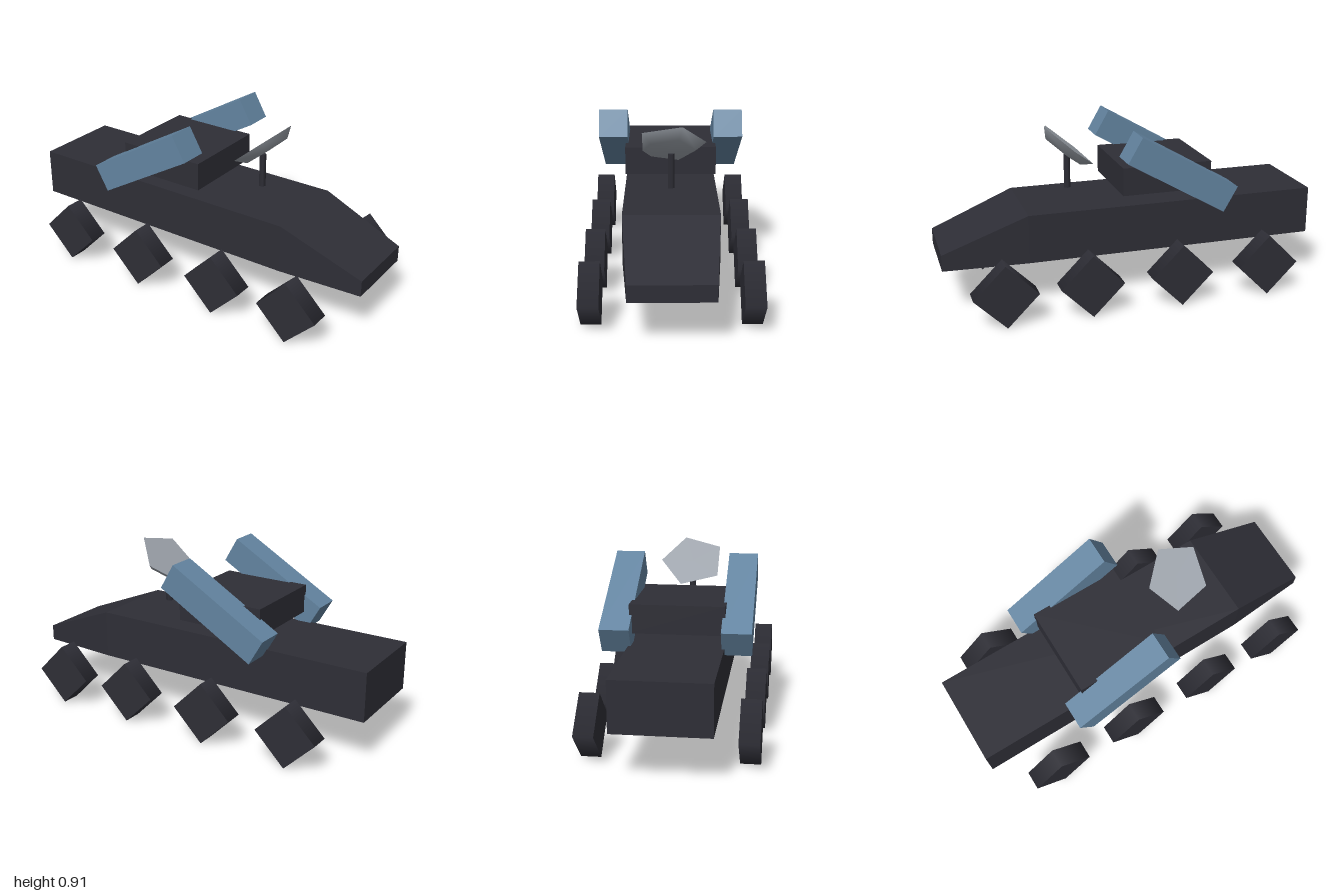
import * as THREE from 'three';

const mat = (name, color) => new THREE.MeshStandardMaterial({ name, color });

// Flat-faced body through rectangular sections [z, halfWidth, bottom, top], back to front
function loft(sections) {
  const rings = sections.map(([z, w, b, t]) => [[-w, b, z], [w, b, z], [w, t, z], [-w, t, z]]);
  const pos = [];
  const quad = (a, b, c, d) => pos.push(...a, ...b, ...c, ...a, ...c, ...d);
  for (let i = 0; i < rings.length - 1; i++) {
    const r = rings[i], n = rings[i + 1];
    for (let k = 0; k < 4; k++) {
      const j = (k + 1) % 4;
      quad(r[k], r[j], n[j], n[k]);
    }
  }
  const first = rings[0], last = rings[rings.length - 1];
  quad(first[3], first[2], first[1], first[0]);
  quad(...last);
  const g = new THREE.BufferGeometry();
  g.setAttribute('position', new THREE.Float32BufferAttribute(pos, 3));
  g.computeVertexNormals();
  return g;
}

export function createModel() {
  const model = new THREE.Group();
  model.name = 'armouredCarrier';
  const dark = mat('darkArmour', 0x2e2e36);
  const blue = mat('steelBlue', 0x6384a0);
  const grey = mat('dishGrey', 0x9aa0a8);

  const add = (name, geometry, material, x, y, z, parent = model) => {
    const m = new THREE.Mesh(geometry, material);
    m.name = name;
    m.position.set(x, y, z);
    parent.add(m);
    return m;
  };

  // Hull with sloped, tapering nose
  add('hull', loft([
    [-1, 0.24, 0.25, 0.505],
    [0.56, 0.24, 0.25, 0.505],
    [1, 0.206, 0.245, 0.33],
  ]), dark, 0, 0, 0);

  // Turret block floating above the deck
  add('turret', new THREE.BoxGeometry(0.48, 0.148, 0.482), dark, 0, 0.634, -0.179);

  // Launcher boxes and four-sided wheels, mirrored
  const launcher = new THREE.BoxGeometry(0.15, 0.15, 0.6).rotateX(-Math.PI / 6);
  const wheel = new THREE.CylinderGeometry(0.165, 0.165, 0.101, 4).rotateZ(Math.PI / 2);
  for (const side of [1, -1]) {
    const label = side > 0 ? 'left' : 'right';
    add(label + 'Launcher', launcher, blue, side * 0.301, 0.684, -0.218);
    [0.72, 0.28, -0.2, -0.682].forEach((z, i) =>
      add(`${label}Wheel${i + 1}`, wheel, dark, side * 0.39, 0.166, z));
  }

  // Radar mast
  const mast = new THREE.CylinderGeometry(0.018, 0.018, 0.18, 5).rotateY(Math.PI / 2);
  add('radarMast', mast, dark, 0, 0.65, 0.3);

  // Tilted five-sided radar dish: shaded bowl closed by a flat face
  const dish = new THREE.Group();
  dish.name = 'radarDish';
  dish.position.set(0, 0.799, 0.298);
  dish.rotation.x = -THREE.MathUtils.degToRad(40);
  model.add(dish);
  const profile = [[0, -0.048], [0.125, -0.045], [0.178, 0]].map(p => new THREE.Vector2(...p));
  const bowl = new THREE.LatheGeometry(profile, 5, Math.PI / 2);
  add('dishBowl', bowl, grey, 0, 0, 0, dish);
  add('dishFace', new THREE.CircleGeometry(0.178, 5).rotateX(-Math.PI / 2), grey, 0, 0, 0, dish);

  return model;
}
